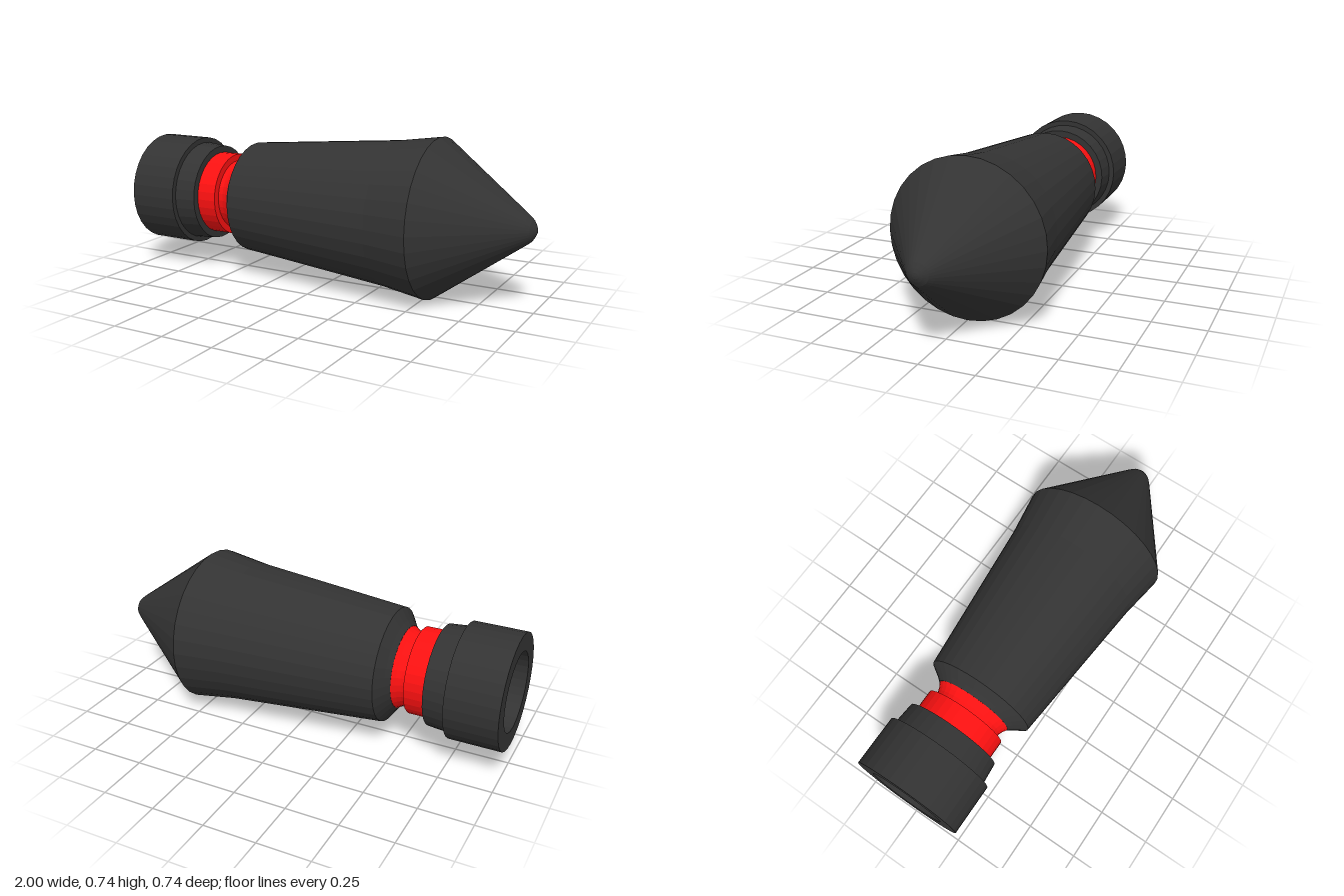
import * as THREE from 'three';

const AXIS_Y = 0.373; // height of the long axis
const SIDES = 32;

const black = new THREE.MeshStandardMaterial({ color: 0x333333, flatShading: true });
const red = new THREE.MeshStandardMaterial({ color: 0xff1111, flatShading: true });

// Turned part: profile of [x along the axis, radius], lying along x
function turned(name, material, profile) {
  const points = profile.map(([x, r]) => new THREE.Vector2(r, x));
  const geometry = new THREE.LatheGeometry(points, SIDES);
  geometry.rotateZ(-Math.PI / 2);
  const mesh = new THREE.Mesh(geometry, material);
  mesh.name = name;
  mesh.position.y = AXIS_Y;
  return mesh;
}

export function createModel() {
  const group = new THREE.Group();
  group.name = 'turnedPlug';

  // Rear socket with a shallow round recess
  group.add(turned('socket', black, [
    [-0.86, 0], [-0.86, 0.185], [-1, 0.185], [-1, 0.27], [-0.755, 0.27], [-0.755, 0],
  ]));

  // Stepped collar in front of the socket
  group.add(turned('collar', black, [
    [-0.755, 0.245], [-0.65, 0.236], [-0.65, 0],
  ]));

  // Red ring and waisted neck
  group.add(turned('ring', red, [
    [-0.65, 0.203], [-0.55, 0.203], [-0.55, 0.17],
  ]));
  group.add(turned('neck', red, [
    [-0.55, 0.17], [-0.525, 0.172], [-0.505, 0.18], [-0.485, 0.192],
  ]));

  // Flaring body with a chamfered rear edge
  group.add(turned('body', black, [
    [-0.485, 0], [-0.485, 0.193], [-0.465, 0.217], [-0.43, 0.27], [0.33, 0.34], [0.54, 0.372],
  ]));

  // Conical nose with a rounded tip
  group.add(turned('nose', black, [
    [0.54, 0.372], [0.958, 0.066], [0.978, 0.049], [0.991, 0.029], [0.998, 0.013], [1, 0],
  ]));

  return group;
}
